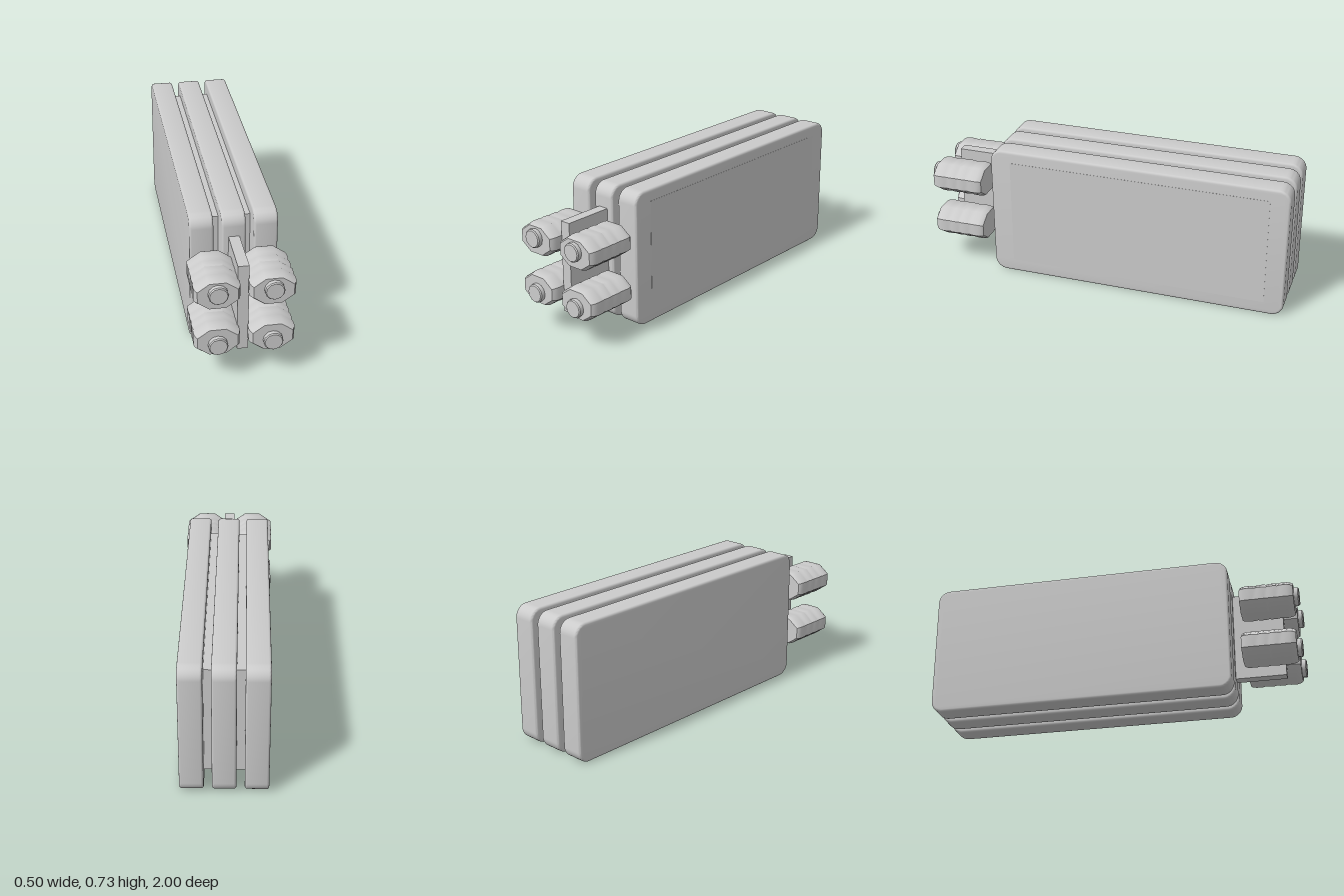
import * as THREE from 'three';
import { toCreasedNormals } from 'three/addons/utils/BufferGeometryUtils.js';

const material = new THREE.MeshStandardMaterial({ color: 0xcccccc });

function add(parent, name, geometry, x = 0, y = 0, z = 0) {
  const mesh = new THREE.Mesh(geometry, material);
  mesh.name = name;
  mesh.position.set(x, y, z);
  parent.add(mesh);
  return mesh;
}

// Box given by its limits on each axis
function addBox(parent, name, [x0, x1], [y0, y1], [z0, z1]) {
  const geometry = new THREE.BoxGeometry(x1 - x0, y1 - y0, z1 - z0);
  return add(parent, name, geometry, (x0 + x1) / 2, (y0 + y1) / 2, (z0 + z1) / 2);
}

// Upright slab with rounded corners and softened rims, thin along x
function slabGeometry(width, height, length, radius, bevel) {
  const a = length / 2 - bevel, b = height / 2 - bevel, r = radius - bevel;
  const shape = new THREE.Shape();
  shape.absarc(a - r, b - r, r, 0, Math.PI / 2);
  shape.absarc(-a + r, b - r, r, Math.PI / 2, Math.PI);
  shape.absarc(-a + r, -b + r, r, Math.PI, Math.PI * 1.5);
  shape.absarc(a - r, -b + r, r, Math.PI * 1.5, Math.PI * 2);
  const geometry = new THREE.ExtrudeGeometry(shape, {
    depth: width - 2 * bevel, bevelThickness: bevel, bevelSize: bevel,
    bevelSegments: 3, curveSegments: 5,
  });
  geometry.translate(0, 0, bevel - width / 2).rotateY(Math.PI / 2);
  return toCreasedNormals(geometry, 0.7);
}

// Turned profile of [radius, z] pairs, with its axis along z
function turned(profile, sides, phase, crease) {
  const points = profile.map(([r, z]) => new THREE.Vector2(r, z));
  const geometry = new THREE.LatheGeometry(points, sides, phase);
  geometry.rotateX(Math.PI / 2);
  return { geometry, crease };
}

export function createModel() {
  const group = new THREE.Group();

  // Three parallel slabs joined by an inner core
  const slab = slabGeometry(0.121, 0.73, 1.632, 0.065, 0.012);
  for (const x of [-0.162, 0, 0.162]) add(group, 'slab', slab, x, 0.365, -0.184);
  addBox(group, 'core', [-0.19, 0.2235], [0.07, 0.665], [-0.895, 0.52]);

  // Mounting bar between the pods
  addBox(group, 'mountingBar', [-0.028, 0.028], [0.121, 0.61], [0.58, 0.9]);

  // Ribbed eight-sided pod, wider than tall
  const pod = turned([
    [0, 0.69], [0.9, 0.69], [0.97, 0.7], [1, 0.72], [1, 0.755],
    [0.965, 0.772], [1, 0.788], [1, 0.818], [0.965, 0.832], [1, 0.846],
    [1, 0.876], [0.965, 0.892], [1, 0.908], [1, 0.94], [0.95, 0.96],
    [0.87, 0.973], [0, 0.973],
  ], 8, Math.PI / 8, 0.75);
  pod.geometry.scale(0.123, 0.0888, 1);
  const podGeometry = toCreasedNormals(pod.geometry, pod.crease);

  // Round knob on the pod's front
  const knob = turned([[0.049, 0.96], [0.049, 0.994], [0.044, 1], [0, 1]], 12, 0, 0.6);
  const knobGeometry = toCreasedNormals(knob.geometry, knob.crease);

  for (const side of [-1, 1]) {
    for (const level of [-1, 1]) {
      const podGroup = new THREE.Group();
      podGroup.name = 'pod';
      podGroup.position.set(side * 0.136, 0.367 + level * 0.135, 0);
      add(podGroup, 'podBody', podGeometry);
      add(podGroup, 'podKnob', knobGeometry, 0, level * 0.014, 0);
      group.add(podGroup);
    }
  }
  return group;
}
